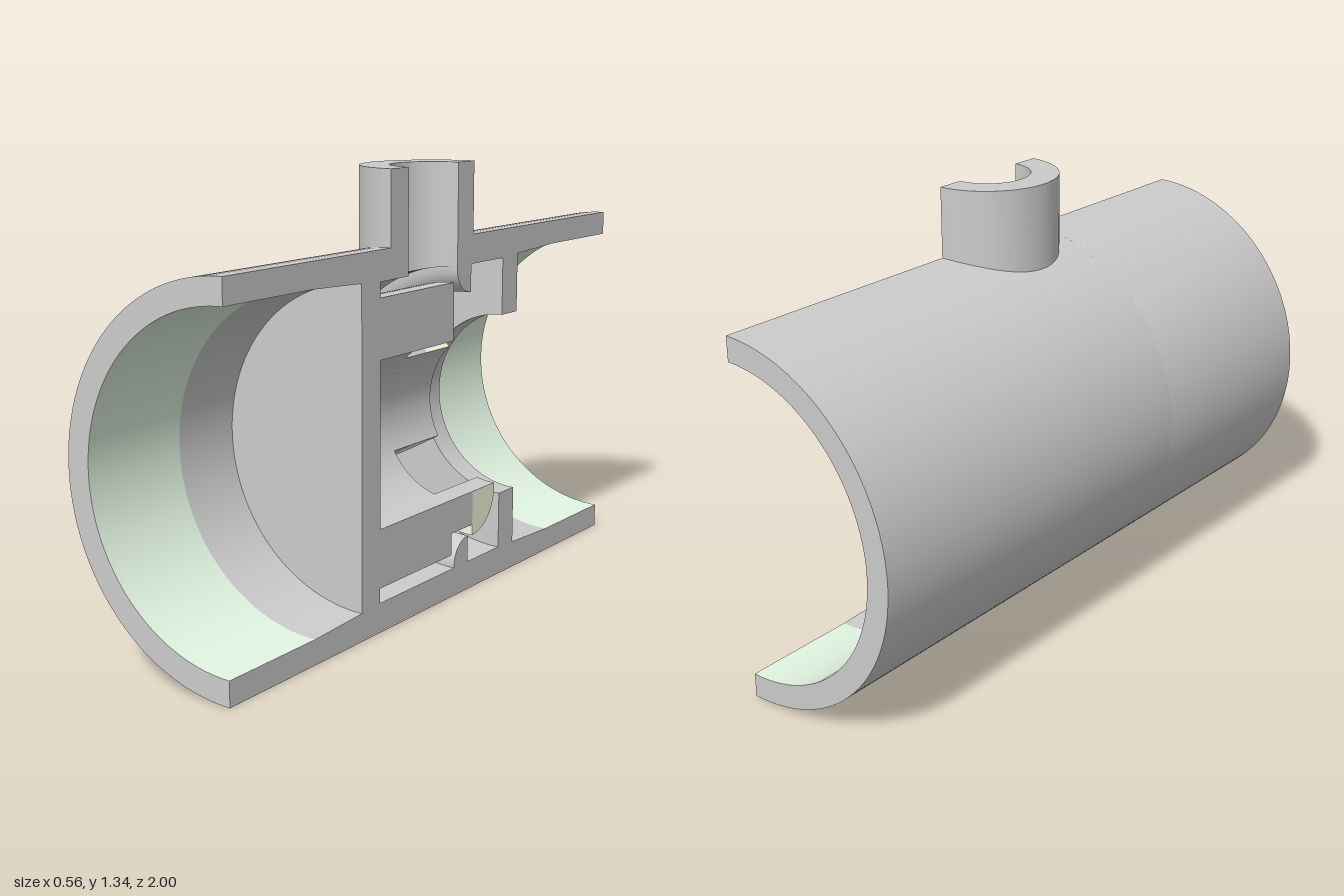
import * as THREE from 'three';
import { toCreasedNormals } from 'three/addons/utils/BufferGeometryUtils.js';

// Half-section of a pipe fitting: pipe axis along z at (AX, AY), cut on the plane x = AX
const AX = 0.28, AY = 0.56;
const PORT_Z = 0.063, PORT_IN = 0.13, PORT_OUT = 0.2175, PORT_TOP = 1.34;
const SHELL = 0.56, CHAMBER = 0.47, BORE = 0.2475;
const deg = THREE.MathUtils.degToRad;

const material = (color) => new THREE.MeshStandardMaterial({ color });
const grey = material(0xcccccc), green = material(0xe3f6e3), cream = material(0xfafade);

// Point at position z and radius r, turned by t from the top through -x to the bottom
const polar = (z, r, t) => new THREE.Vector3(AX - r * Math.sin(t), AY + r * Math.cos(t), z);

// Surface through rows of points
function grid(rows) {
  const n = rows[0].length, index = [];
  for (let i = 0; i < rows.length - 1; i++) {
    for (let j = 0; j < n - 1; j++) {
      const a = i * n + j, b = a + n;
      index.push(a, a + 1, b, a + 1, b + 1, b);
    }
  }
  const geometry = new THREE.BufferGeometry().setFromPoints(rows.flat());
  geometry.setIndex(index);
  return toCreasedNormals(geometry, 0.5);
}

// Angle at which a shell surface begins, leaving the side port open
function portEdge(z, r) {
  const R = r === SHELL ? PORT_OUT : r === CHAMBER ? PORT_IN : 0;
  const w = Math.sqrt(Math.max(0, R * R - (z - PORT_Z) ** 2));
  return w > 0 ? Math.asin(w / r) : 0;
}

// Revolve a [z, r] profile from angle t0 to t1
function revolve(profile, t0 = 0, t1 = Math.PI, n = 72) {
  return grid(profile.map(([z, r]) => {
    const s = Math.max(t0, portEdge(z, r));
    return Array.from({ length: n + 1 }, (_, j) => polar(z, r, s + (t1 - s) * j / n));
  }));
}

// Flat section face at angle t
function cap(profile, t, flip) {
  const geometry = new THREE.ShapeGeometry(new THREE.Shape(profile.map(([z, r]) => new THREE.Vector2(z, r))));
  const p = geometry.attributes.position;
  for (let i = 0; i < p.count; i++) {
    const v = polar(p.getX(i), p.getY(i), t);
    p.setXYZ(i, v.x, v.y, v.z);
  }
  if (flip) geometry.index.array.reverse();
  geometry.computeVertexNormals();
  return geometry;
}

// Quarter round, from the largest z to the largest radius or back
function quarter(z, r, radius, from, to, steps = 10) {
  return Array.from({ length: steps + 1 }, (_, k) => {
    const a = deg(from + (to - from) * k / steps);
    return [z + radius * Math.cos(a), r + radius * Math.sin(a)];
  });
}

// z positions that follow the rim of the side port
const rimZ = (R, r) => Array.from({ length: 33 }, (_, k) => [PORT_Z + R * Math.cos(Math.PI * k / 32), r]);

export function createModel() {
  const model = new THREE.Group();
  const add = (name, geometry, mat = grey, parent = model) => {
    const mesh = new THREE.Mesh(geometry, mat);
    mesh.name = name;
    parent.add(mesh);
  };

  // Profiles either side of the port: dividing wall with inner sleeve, then rib and flange
  const front = [[0.64, 0.485], [0.42, 0.475], [0.42, 0], [0.33, 0], [0.33, BORE], [-0.05, BORE],
    [-0.05, 0.425], [0.33, 0.425], [0.33, CHAMBER]];
  const back = [...quarter(-0.145, 0.463, 0.078, 0, -90).map(([z, r]) => [z, r]),
    [-0.145, CHAMBER], [-0.33, CHAMBER], [-0.33, 0.29], [-0.42, 0.29], [-0.42, 0.475], [-0.64, 0.485]];
  // The rib bulges toward the sleeve
  const rib = back;
  const portFront = PORT_Z + PORT_IN, portBack = PORT_Z - PORT_IN;
  const frontEnd = [[1, SHELL], [1, 0.485]], backEnd = [[-1, 0.485], [-1, SHELL]];

  // Housing surfaces
  add('outerShell', revolve([[-1, SHELL], ...rimZ(PORT_OUT, SHELL).reverse(), [1, SHELL]]));
  add('frontRim', revolve(frontEnd));
  add('backRim', revolve(backEnd));
  add('frontSocketLining', revolve([[1, 0.485], [0.64, 0.485]]), green);
  add('backSocketLining', revolve([[-0.64, 0.485], [-1, 0.485]]), green);
  add('wallAndSleeve', revolve(front));
  add('chamberWall', revolve([[0.33, CHAMBER], ...rimZ(PORT_IN, CHAMBER), [portBack, CHAMBER]]));
  add('ribAndFlange', revolve([[portBack, CHAMBER], ...rib]));

  // Section faces
  const lower = [...frontEnd, ...front, [portBack, CHAMBER], ...rib, ...backEnd];
  add('lowerSectionFace', cap(lower, Math.PI, false));
  const portR = PORT_TOP - AY;
  add('upperFrontSectionFace', cap([...frontEnd, ...front, [portFront, CHAMBER], [portFront, portR],
    [PORT_Z + PORT_OUT, portR], [PORT_Z + PORT_OUT, SHELL]], 0, true));
  add('upperBackSectionFace', cap([[portBack, portR], [portBack, CHAMBER], ...rib, ...backEnd,
    [PORT_Z - PORT_OUT, SHELL], [PORT_Z - PORT_OUT, portR]], 0, true));

  // Side port: bore, top ring and outside in one surface
  const portRow = (R, base) => Array.from({ length: 49 }, (_, j) => {
    const a = Math.PI * j / 48, w = R * Math.sin(a);
    return new THREE.Vector3(AX - w, base ? AY + Math.sqrt(base * base - w * w) : PORT_TOP, PORT_Z + R * Math.cos(a));
  });
  add('sidePort', grid([portRow(PORT_IN, CHAMBER), portRow(PORT_IN), portRow(PORT_OUT), portRow(PORT_OUT, SHELL)]));

  // Snap tabs: 75 degrees wide, three to a full turn, one of them cut by the section
  const neck = [[-0.05, 0.355], [-0.05, BORE], [-0.17, BORE], [-0.17, 0.355]];
  const hookRound = quarter(-0.17, 0.26, 0.13, 180, 90);
  const hook = [[-0.17, BORE], [-0.3, BORE], ...hookRound];
  for (const [from, to] of [[45, 120], [165, 180]]) {
    const tab = new THREE.Group(), t0 = deg(from), t1 = deg(to);
    tab.name = 'snapTab';
    add('tabInside', revolve([[-0.05, BORE], [-0.3, BORE]], t0, t1, 32), grey, tab);
    add('tabNeck', revolve([[-0.17, 0.355], [-0.05, 0.355]], t0, t1, 32), grey, tab);
    add('hookRound', revolve([[-0.3, BORE], ...hookRound, [-0.17, 0.355]], t0, t1, 32), cream, tab);
    for (const [t, flip] of [[t0, true], [t1, false]]) {
      add('neckSide', cap(neck, t, flip), grey, tab);
      add('hookSide', cap(hook, t, flip), cream, tab);
    }
    model.add(tab);
  }
  return model;
}
